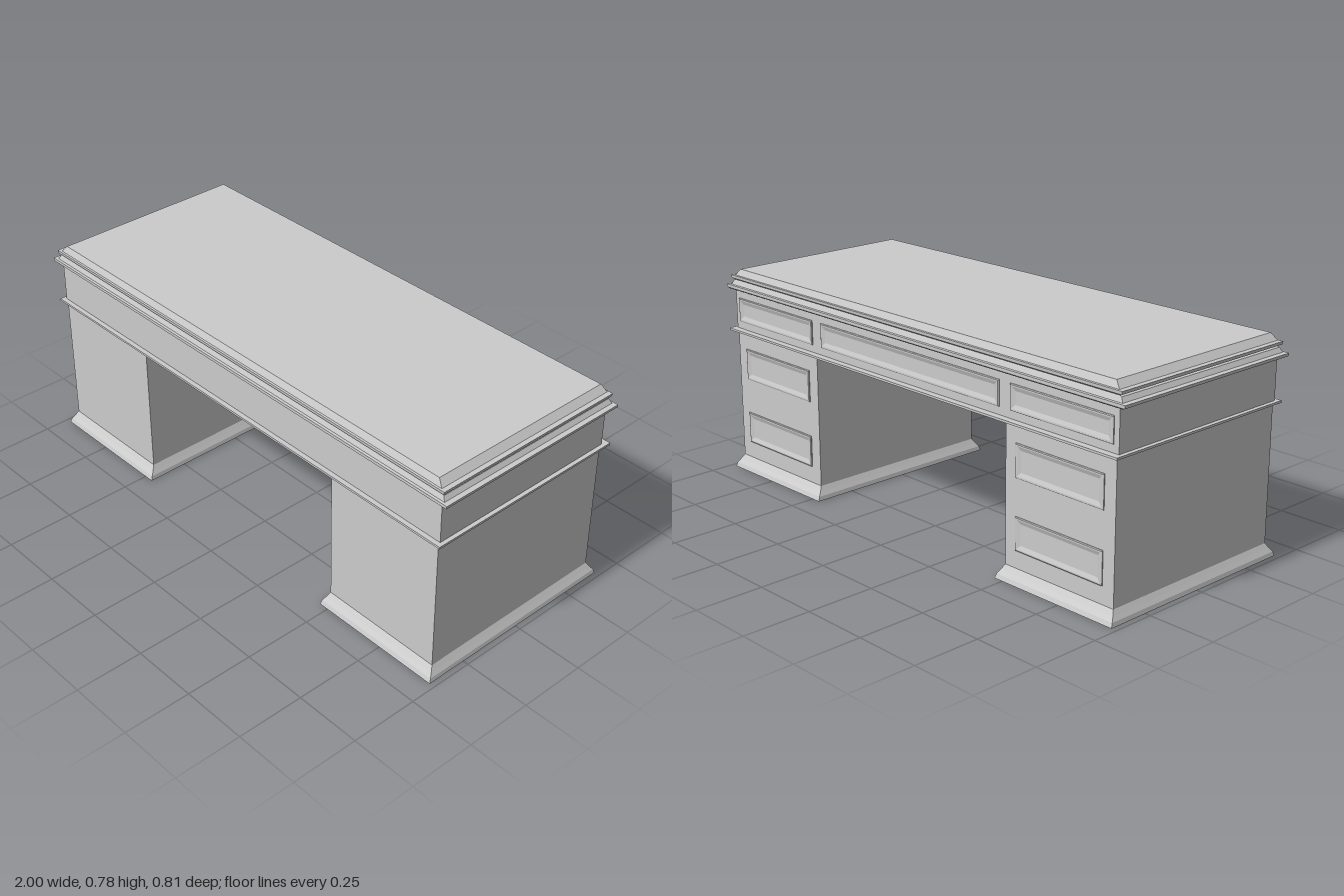
import * as THREE from 'three';

const material = new THREE.MeshStandardMaterial({ color: 0xcccccc, flatShading: true });

// Solid from stacked rectangles: rings of [height, half width x, half depth z], capped at both ends
function stackedRects(name, rings) {
  const corners = [[-1, 1], [1, 1], [1, -1], [-1, -1]];
  const pos = [];
  const index = [];
  for (const [y, hx, hz] of rings) {
    for (const [sx, sz] of corners) pos.push(sx * hx, y, sz * hz);
  }
  for (let r = 0; r < rings.length - 1; r++) {
    for (let i = 0; i < 4; i++) {
      const a = r * 4 + i;
      const b = r * 4 + (i + 1) % 4;
      index.push(a, b, b + 4, a, b + 4, a + 4);
    }
  }
  const t = (rings.length - 1) * 4;
  index.push(0, 2, 1, 0, 3, 2, t, t + 1, t + 2, t, t + 2, t + 3);
  const indexed = new THREE.BufferGeometry();
  indexed.setAttribute('position', new THREE.Float32BufferAttribute(pos, 3));
  indexed.setIndex(index);
  const geometry = indexed.toNonIndexed();
  geometry.computeVertexNormals();
  const mesh = new THREE.Mesh(geometry, material);
  mesh.name = name;
  return mesh;
}

// Drawer front on the -z face: raised moulding around a sunken panel
function drawerFront(name, x, y, width, height) {
  const section = [[0, 0], [0.004, 0], [0.006, 0.003], [0.006, 0.008], [0.001, 0.022]];
  const drawer = stackedRects(name, section.map(
    ([out, inset]) => [out, width / 2 - inset, height / 2 - inset]));
  drawer.rotation.x = -Math.PI / 2;
  drawer.position.set(x, y, -0.375);
  return drawer;
}

export function createModel() {
  const desk = new THREE.Group();
  desk.name = 'desk';

  // Table top with two stepped mouldings
  desk.add(stackedRects('tableTop', [
    [0.698, 0.97, 0.375],
    [0.702, 0.988, 0.388],
    [0.707, 0.998, 0.393],
    [0.718, 1.0, 0.393],
    [0.719, 0.982, 0.384],
    [0.735, 0.972, 0.378],
    [0.738, 0.965, 0.376],
    [0.744, 0.978, 0.384],
    [0.755, 0.98, 0.385],
    [0.756, 0.963, 0.378],
    [0.78, 0.942, 0.368],
  ]));

  // Drawer case and the thin ledge below it
  desk.add(stackedRects('drawerCase', [[0.55, 0.966, 0.376], [0.7, 0.966, 0.376]]));
  const ledge = stackedRects('ledge', [[0.545, 0.981, 0.398], [0.553, 0.981, 0.398]]);
  ledge.position.z = -0.004;
  desk.add(ledge);

  // Pedestals with flared plinths and two drawers each
  for (const side of [-1, 1]) {
    const prefix = side > 0 ? 'left' : 'right';
    const pedestal = stackedRects(prefix + 'Pedestal', [
      [0, 0.258, 0.405],
      [0.016, 0.255, 0.399],
      [0.03, 0.247, 0.388],
      [0.048, 0.2375, 0.376],
      [0.546, 0.2375, 0.376],
    ]);
    pedestal.position.x = side * 0.722;
    desk.add(pedestal);
    desk.add(drawerFront(prefix + 'LowerDrawer', side * 0.722, 0.17, 0.38, 0.118));
    desk.add(drawerFront(prefix + 'MiddleDrawer', side * 0.722, 0.42, 0.38, 0.118));
    desk.add(drawerFront(prefix + 'TopDrawer', side * 0.725, 0.626, 0.44, 0.09));
  }
  desk.add(drawerFront('centreDrawer', 0, 0.626, 0.91, 0.09));

  return desk;
}
